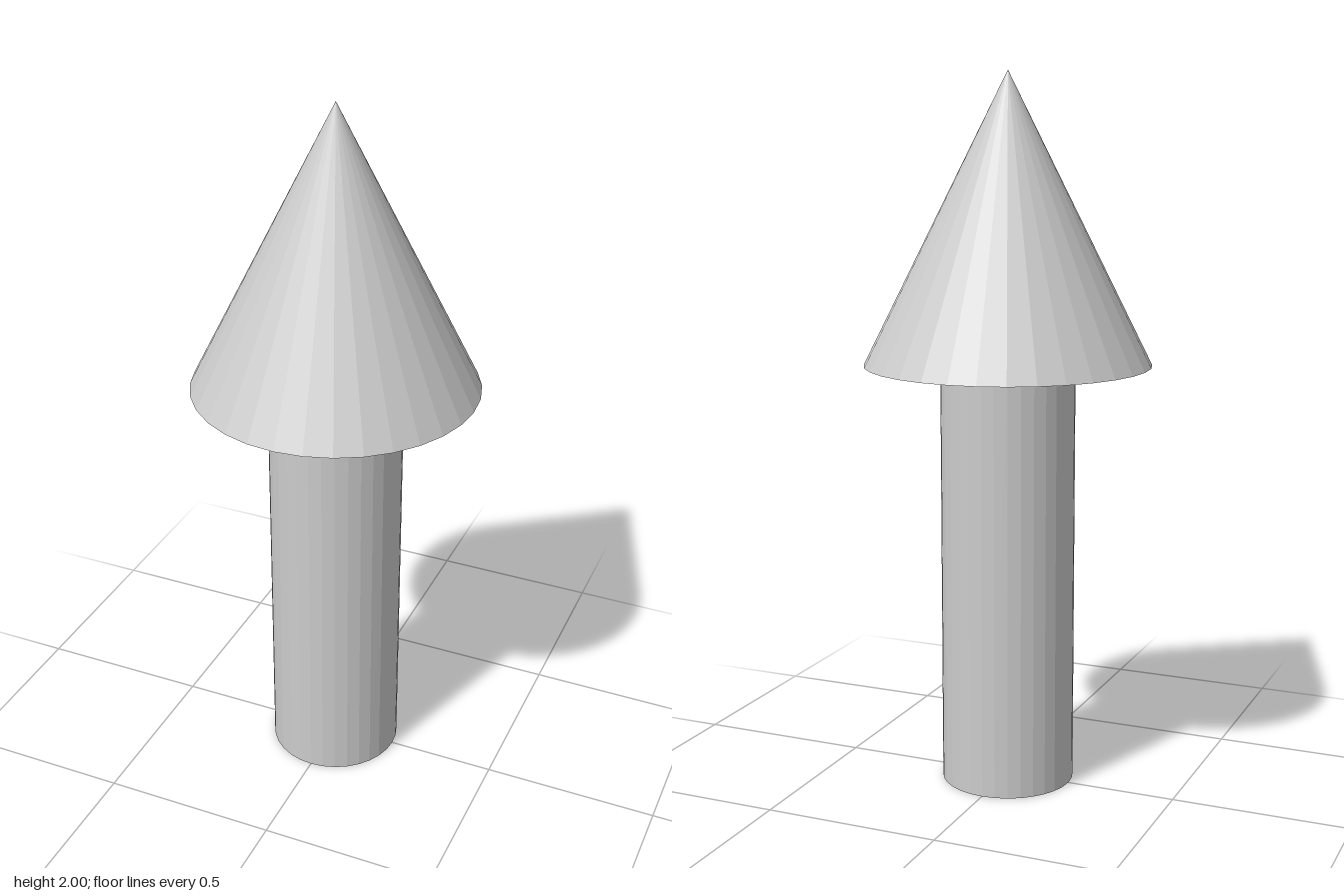
import * as THREE from 'three';

const SIDES = 32;
const SHAFT_HEIGHT = 1.2;
const HEAD_HEIGHT = 0.8;

export function createModel() {
  const group = new THREE.Group();
  group.name = 'arrow';
  const material = new THREE.MeshStandardMaterial({ color: 0xcccccc, flatShading: true });

  const addPart = (name, geometry, y) => {
    const mesh = new THREE.Mesh(geometry, material);
    mesh.name = name;
    mesh.position.y = y;
    group.add(mesh);
  };

  // Round shaft standing on the ground
  addPart('shaft', new THREE.CylinderGeometry(0.188, 0.188, SHAFT_HEIGHT, SIDES), SHAFT_HEIGHT / 2);

  // Faceted cone with a closed base, pointing up
  addPart('head', new THREE.ConeGeometry(0.4, HEAD_HEIGHT, SIDES), SHAFT_HEIGHT + HEAD_HEIGHT / 2);

  return group;
}
